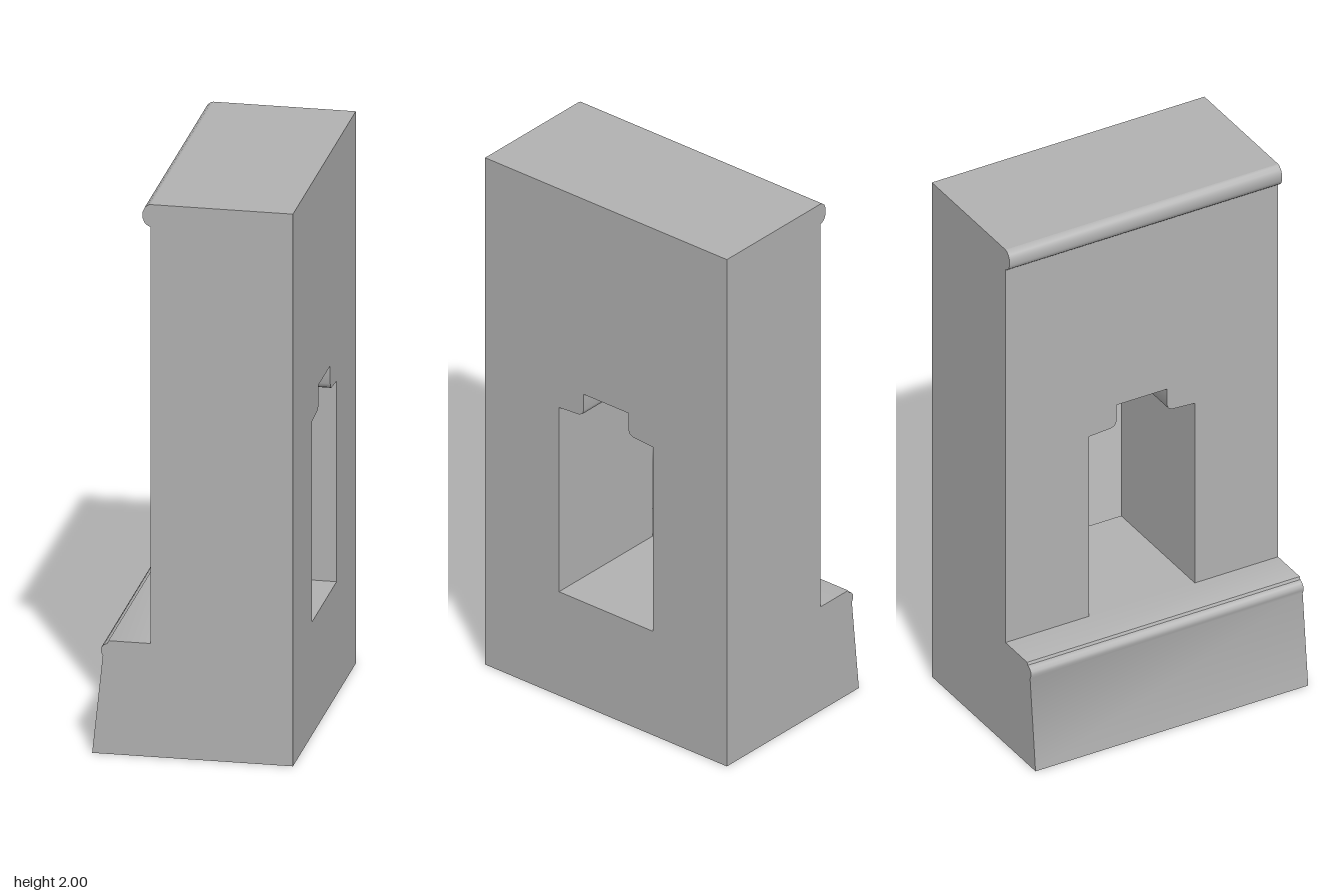
import * as THREE from 'three';
import { toCreasedNormals } from 'three/addons/utils/BufferGeometryUtils.js';

const HALF_LENGTH = 0.54; // half the wall length along z
const WALL_BACK = 0.35, WALL_FACE = -0.147; // wall thickness along x
const SILL = 0.41; // height of plinth top and opening floor

const points = list => list.map(([a, b]) => new THREE.Vector2(a, b));

export function createModel() {
  const group = new THREE.Group();
  const stone = new THREE.MeshStandardMaterial({ color: 0xb2b2b2 });
  stone.name = 'grey stone';

  function add(name, geometry) {
    const mesh = new THREE.Mesh(toCreasedNormals(geometry, 0.75), stone);
    mesh.name = name;
    group.add(mesh);
  }

  // Profile in x/y run along the whole wall length
  function addMoulding(name, profile) {
    const geometry = new THREE.ExtrudeGeometry(new THREE.Shape(points(profile)),
      { depth: HALF_LENGTH * 2, bevelEnabled: false });
    geometry.translate(0, 0, -HALF_LENGTH);
    add(name, geometry);
  }

  // Wall slab with a corbelled opening passing through it
  const wall = new THREE.Shape(points([
    [-HALF_LENGTH, 0], [HALF_LENGTH, 0], [HALF_LENGTH, 2], [-HALF_LENGTH, 2],
  ]));
  const jamb = [[0.21, SILL], [0.21, 1.137], [0.12, 1.143], [0.106, 1.15], [0.1, 1.165], [0.1, 1.23]];
  const mirrored = jamb.map(([s, y]) => [-s, y]).reverse();
  wall.holes.push(new THREE.Path(points([...jamb, ...mirrored])));
  const wallGeometry = new THREE.ExtrudeGeometry(wall,
    { depth: WALL_BACK - WALL_FACE, bevelEnabled: false });
  wallGeometry.rotateY(Math.PI / 2);
  wallGeometry.translate(WALL_FACE, 0, 0);
  add('wall', wallGeometry);

  // Battered plinth with a rounded lip
  addMoulding('plinth', [
    [WALL_FACE, 0], [WALL_FACE, SILL], [-0.293, SILL], [-0.297, 0.4], [-0.31, 0.394],
    [-0.319, 0.383], [-0.32, 0.37], [-0.313, 0.354], [-0.35, 0],
  ]);

  // Rounded string course at the top of the wall
  addMoulding('topMoulding', [
    [WALL_FACE, 1.92], [WALL_FACE, 2], [-0.155, 1.998], [-0.167, 1.988], [-0.174, 1.972],
    [-0.174, 1.948], [-0.167, 1.932], [-0.155, 1.922],
  ]);

  return group;
}
